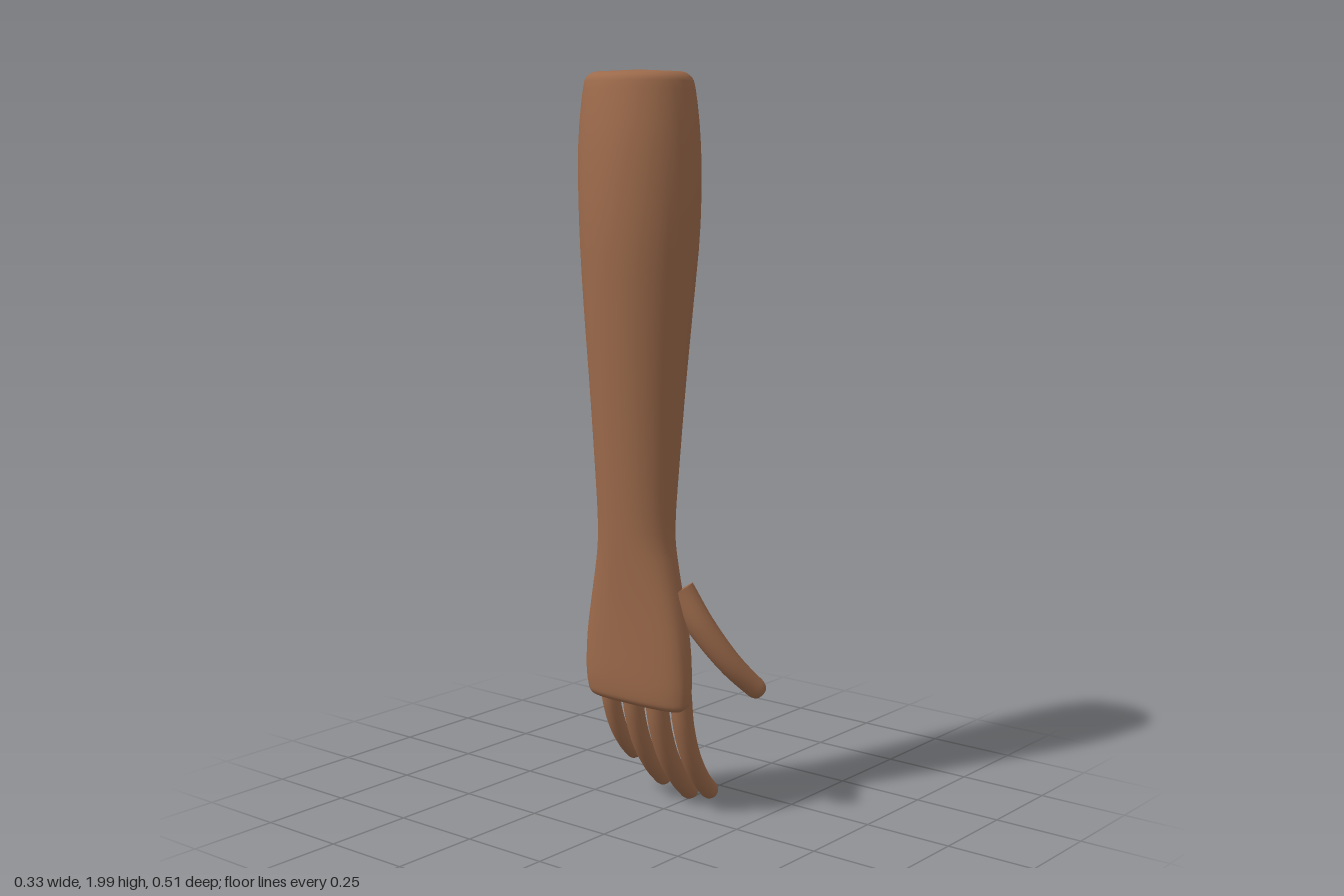
import * as THREE from 'three';
import { mergeVertices } from 'three/addons/utils/BufferGeometryUtils.js';

// Forearm and hand sections from top to knuckles: y, xMin, xMax, zMin, zMax
const SECTIONS = [
  [1.995, -0.08, 0.125, -0.22, 0.015],
  [1.985, -0.105, 0.15, -0.24, 0.035],
  [1.95, -0.12, 0.165, -0.253, 0.05],
  [1.8, -0.15, 0.166, -0.252, 0.075],
  [1.6, -0.166, 0.15, -0.235, 0.086],
  [1.4, -0.163, 0.12, -0.217, 0.08],
  [1.2, -0.155, 0.09, -0.197, 0.071],
  [1.0, -0.145, 0.062, -0.18, 0.064],
  [0.8, -0.134, 0.036, -0.168, 0.06],
  [0.7, -0.127, 0.026, -0.178, 0.077],
  [0.6, -0.12, 0.018, -0.196, 0.1],
  [0.5, -0.115, 0.014, -0.213, 0.119],
  [0.4, -0.111, 0.009, -0.22, 0.127],
  [0.35, -0.106, 0.002, -0.215, 0.125],
  [0.33, -0.1, -0.012, -0.208, 0.119],
  [0.32, -0.088, -0.035, -0.195, 0.105],
];

// Smooth closed loft through the sections, slightly squarer towards the hand
function armGeometry() {
  const sides = 32, sub = 3, rings = [];
  const last = SECTIONS.length - 1;
  const at = (i) => SECTIONS[Math.min(last, Math.max(0, i))];
  for (let i = 0; i <= last; i++) {
    for (let s = 0; s < (i < last ? sub : 1); s++) {
      const t = s / sub;
      rings.push(at(i).map((p1, k) => {
        const p0 = at(i - 1)[k], p2 = at(i + 1)[k], p3 = at(i + 2)[k];
        return p1 + 0.5 * t * (p2 - p0 + t * (2 * p0 - 5 * p1 + 4 * p2 - p3
          + t * (3 * (p1 - p2) + p3 - p0)));
      }));
    }
  }
  const pos = [], index = [];
  for (const [y, x0, x1, z0, z1] of rings) {
    const e = 1 - 0.18 * THREE.MathUtils.smoothstep(-y, -0.85, -0.45);
    for (let j = 0; j < sides; j++) {
      const a = j / sides * Math.PI * 2, c = Math.cos(a), s = Math.sin(a);
      pos.push((x0 + x1) / 2 + (x1 - x0) / 2 * Math.sign(c) * Math.abs(c) ** e, y,
        (z0 + z1) / 2 + (z1 - z0) / 2 * Math.sign(s) * Math.abs(s) ** e);
    }
  }
  for (let i = 0; i < rings.length - 1; i++) {
    for (let j = 0; j < sides; j++) {
      const a = i * sides + j, b = i * sides + (j + 1) % sides;
      index.push(a, b, a + sides, b, b + sides, a + sides);
    }
  }
  // End caps
  const top = pos.length / 3, bottom = top + 1, base = (rings.length - 1) * sides;
  pos.push(0.02, 2, -0.1, -0.062, 0.318, -0.045);
  for (let j = 0; j < sides; j++) {
    const n = (j + 1) % sides;
    index.push(top, n, j, bottom, base + j, base + n);
  }
  const geo = new THREE.BufferGeometry();
  geo.setAttribute('position', new THREE.Float32BufferAttribute(pos, 3));
  geo.setIndex(index);
  geo.computeVertexNormals();
  return geo;
}

// Tapered tube with a rounded tip and a flat root
function digit(name, points, r0, r1, material) {
  const curve = new THREE.CatmullRomCurve3(points.map((p) => new THREE.Vector3(...p)));
  const segments = 48, sides = 16, length = curve.getLength();
  let geo = new THREE.TubeGeometry(curve, segments, 1, sides);
  const pos = geo.attributes.position, v = new THREE.Vector3();
  for (let i = 0; i <= segments; i++) {
    const t = i / segments, center = curve.getPointAt(t);
    const tip = Math.max(0, 1 - (1 - t) * length / r1);
    const r = THREE.MathUtils.lerp(r0, r1, t) * Math.sqrt(Math.max(0, 1 - tip * tip));
    for (let j = 0; j <= sides; j++) {
      const k = i * (sides + 1) + j;
      v.fromBufferAttribute(pos, k).sub(center).multiplyScalar(r).add(center);
      pos.setXYZ(k, v.x, v.y, v.z);
    }
  }
  geo.deleteAttribute('uv');
  geo.deleteAttribute('normal');
  geo = mergeVertices(geo, 1e-5);
  geo.computeVertexNormals();

  const group = new THREE.Group();
  group.name = name;
  const tube = new THREE.Mesh(geo, material);
  tube.name = name + 'Shaft';
  const root = new THREE.Mesh(new THREE.CircleGeometry(r0, sides), material);
  root.name = name + 'Root';
  root.position.copy(curve.getPointAt(0));
  root.lookAt(root.position.clone().sub(curve.getTangentAt(0)));
  group.add(tube, root);
  return group;
}

export function createModel() {
  const skin = new THREE.MeshStandardMaterial({ color: 0x9c6a4b });
  skin.name = 'brown skin';
  const model = new THREE.Group();
  model.name = 'forearmAndHand';

  const arm = new THREE.Mesh(armGeometry(), skin);
  arm.name = 'forearmAndPalm';
  model.add(arm);

  // Fingers: name, z, tip x, tip y, radius
  const fingers = [
    ['indexFinger', 0.086, 0.108, 0.042, 0.03],
    ['middleFinger', 0.0, 0.13, 0.018, 0.032],
    ['ringFinger', -0.085, 0.118, 0.042, 0.029],
    ['littleFinger', -0.165, 0.085, 0.11, 0.026],
  ];
  for (const [name, z, tipX, tipY, r] of fingers) {
    const x = (f) => -0.035 + (tipX + 0.035) * f;
    const y = (f) => 0.36 - (0.36 - tipY) * f;
    model.add(digit(name, [
      [x(0), y(0), z], [x(0.1), y(0.3), z], [x(0.3), y(0.57), z],
      [x(0.6), y(0.8), z], [x(1), y(1), z],
    ], r, r * 0.82, skin));
  }

  // Thumb, splayed forwards from the side of the palm
  model.add(digit('thumb', [
    [-0.018, 0.637, 0.068], [0.005, 0.545, 0.124],
    [0.055, 0.44, 0.186], [0.128, 0.35, 0.238],
  ], 0.042, 0.027, skin));

  return model;
}
